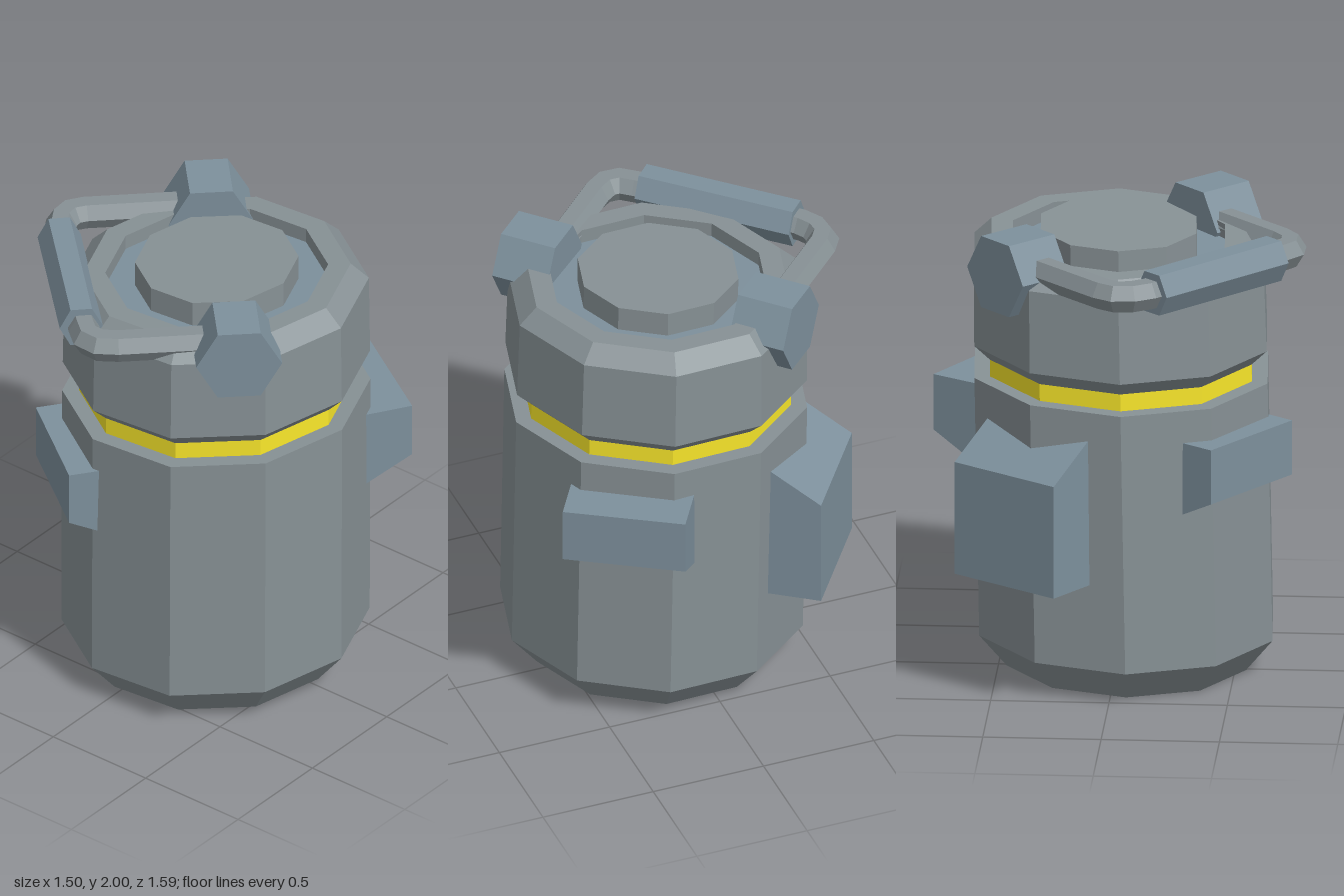
import * as THREE from 'three';

const deg = Math.PI / 180;
const paint = (color) => new THREE.MeshStandardMaterial({ color, flatShading: true });
const shell = paint(0x879195);
const trim = paint(0x7d909c);
const yellow = paint(0xf8e62a);

export function createModel() {
  const group = new THREE.Group();

  function add(name, geometry, material) {
    const flat = geometry.index ? geometry.toNonIndexed() : geometry;
    flat.computeVertexNormals();
    const mesh = new THREE.Mesh(flat, material);
    mesh.name = name;
    group.add(mesh);
    return mesh;
  }

  // The canister stands slightly askew: its rings slope and its axis leans
  const lean = new THREE.Matrix4().set(
    1, -0.01, 0, 0.101,
    0.032, 1, -0.02, 0,
    0, -0.017, 1, 0.035,
    0, 0, 0, 1);

  // Ten-sided turned part from [radius, height] pairs, bottom to top
  function turned(name, profile, material) {
    const points = profile.map(([r, y]) => new THREE.Vector2(r, y));
    const geometry = new THREE.LatheGeometry(points, 10, 21.5 * deg);
    add(name, geometry.applyMatrix4(lean), material);
  }

  // Block on the wall: a [radius, height] section, extruded sideways
  function wallBlock(name, angle, width, section) {
    const shape = new THREE.Shape(section.map(([r, y]) => new THREE.Vector2(r, y)));
    const geometry = new THREE.ExtrudeGeometry(shape, { depth: width, bevelEnabled: false });
    const mesh = add(name, geometry.translate(0, 0, -width / 2), trim);
    mesh.rotation.y = -angle * deg;
    mesh.position.set(0.085, 0, 0.015);
  }

  // Horizontal hexagonal bar with a flat top
  function hexBar(name, radius, length, position, angle) {
    const geometry = new THREE.CylinderGeometry(radius, radius, length, 6).rotateZ(Math.PI / 2);
    const mesh = add(name, geometry, trim);
    mesh.rotation.y = -angle * deg;
    mesh.position.set(...position);
    return mesh;
  }

  // Hexagonal rod swept along a level path of [x, z] points with mitred corners
  function hexRod(name, path, y, radius) {
    const points = path.map(([x, z]) => new THREE.Vector2(x, z));
    const last = points.length - 1;
    const positions = [], index = [];
    points.forEach((p, i) => {
      const h = Math.max(i, 1), j = Math.min(i, last - 1);
      const before = points[h].clone().sub(points[h - 1]).normalize();
      const after = points[j + 1].clone().sub(points[j]).normalize();
      const t = before.clone().add(after).normalize();
      const miter = radius / t.dot(before);
      for (let k = 0; k < 6; k++) {
        const c = Math.cos(k * 60 * deg) * miter;
        positions.push(p.x - t.y * c, y + Math.sin(k * 60 * deg) * radius, p.y + t.x * c);
        if (i < last) {
          const a = i * 6 + k, b = i * 6 + (k + 1) % 6;
          index.push(a, a + 6, b, b, a + 6, b + 6);
        }
      }
    });
    const geometry = new THREE.BufferGeometry();
    geometry.setAttribute('position', new THREE.Float32BufferAttribute(positions, 3));
    geometry.setIndex(index);
    add(name, geometry, shell);
  }

  // Canister
  turned('body', [[0, 0.02], [0.53, 0.02], [0.65, 0.165], [0.65, 1.31], [0.57, 1.31]], shell);
  turned('band', [[0.58, 1.3], [0.58, 1.388]], yellow);
  turned('cap', [[0.57, 1.385], [0.58, 1.385], [0.648, 1.452], [0.642, 1.815], [0.565, 1.89],
    [0.47, 1.89], [0.47, 1.825]], shell);
  turned('capRecess', [[0.47, 1.825], [0.345, 1.825]], trim);
  turned('capDisc', [[0.345, 1.825], [0.345, 1.937], [0, 1.937]], shell);

  // Blocks on the wall
  wallBlock('frontBlock', 126, 0.535, [[0.5, 0.8], [0.712, 0.905], [0.712, 1.145], [0.5, 1.145]]);
  wallBlock('backBlock', -58.5, 0.525, [[0.5, 0.8], [0.787, 0.945], [0.787, 1.19], [0.5, 1.19]]);
  wallBlock('sideBlock', 215.5, 0.54, [[0.5, 0.525], [0.783, 0.525], [0.783, 1.02], [0.5, 1.2]]);

  // Carrying handle with its two lugs
  hexBar('frontLug', 0.182, 0.25, [0.485, 1.842, 0.37], 46);
  hexBar('backLug', 0.182, 0.25, [-0.285, 1.838, -0.4], 46);
  hexRod('handleRod', [[0.41, 0.38], [0.1, 0.685], [0.035, 0.73], [-0.03, 0.728], [-0.09, 0.68],
    [-0.635, 0.17], [-0.675, 0.105], [-0.68, 0.04], [-0.645, -0.015], [-0.3, -0.355]], 1.86, 0.067);
  hexBar('handleGrip', 0.102, 0.7, [-0.367, 1.86, 0.43], 43.5).scale.z = 0.9;

  return group;
}
